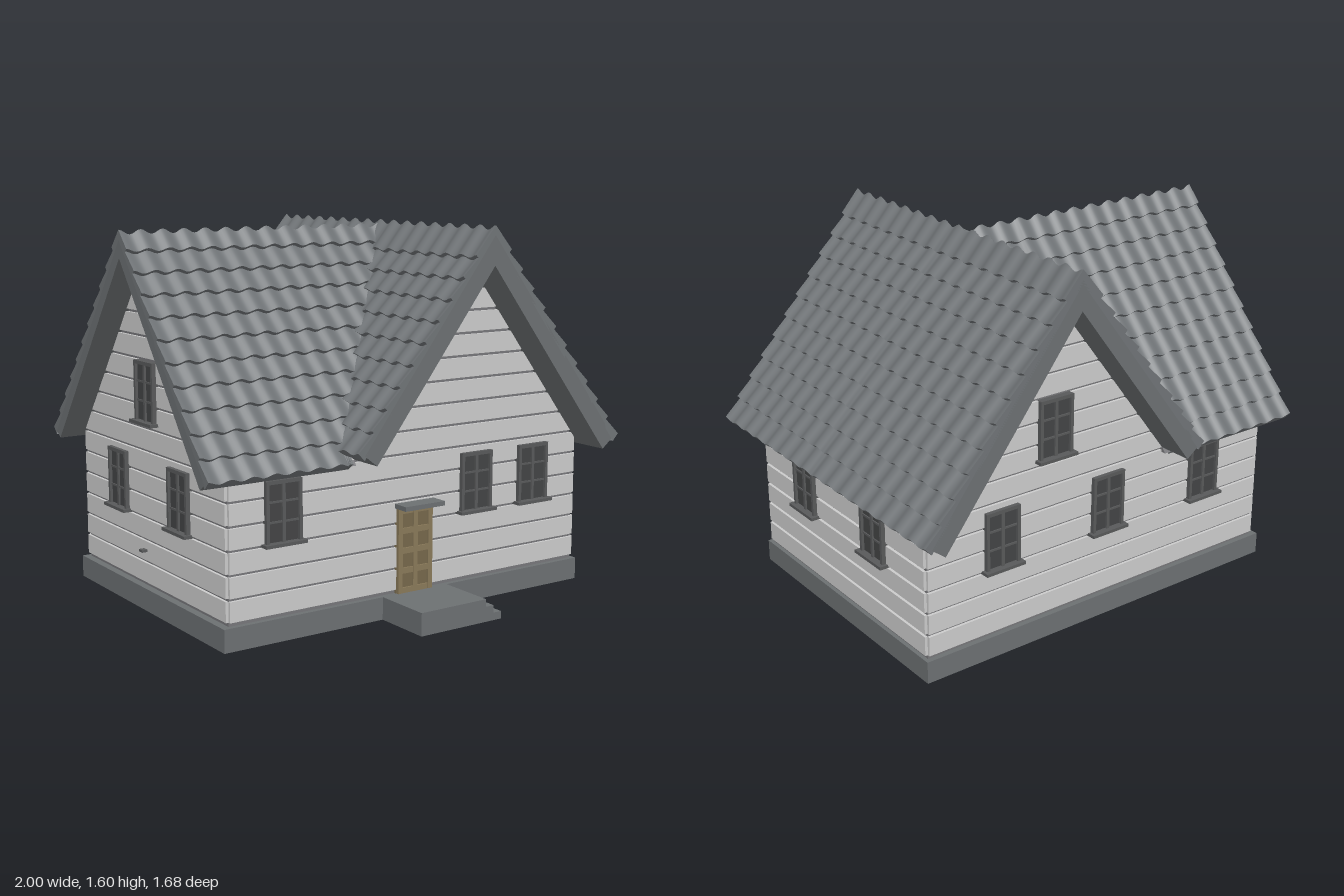
import * as THREE from 'three';
import { toCreasedNormals } from 'three/addons/utils/BufferGeometryUtils.js';

const mat = (color, side = THREE.FrontSide) => new THREE.MeshStandardMaterial({ color, side });
const SLOPE = 1.3, ANG = Math.atan(SLOPE), C = Math.cos(ANG), S = Math.sin(ANG);

export function createModel() {
  const siding = mat(0xcccccc), groove = mat(0x77777a), stone = mat(0x6c7072);
  const roofMat = mat(0x6c7072), tileMat = mat(0x707477, THREE.DoubleSide);
  const frameMat = mat(0x58595a), glass = mat(0x434445);
  const wood = mat(0x897959), woodDark = mat(0x75674b);
  const house = new THREE.Group();
  house.name = 'house';

  const add = (parent, name, geo, material) => {
    const m = new THREE.Mesh(geo, material);
    m.name = name;
    parent.add(m);
    return m;
  };
  // Box given by its minimum and maximum corners
  const box = (parent, name, material, x0, x1, y0, y1, z0, z1) => {
    const m = add(parent, name, new THREE.BoxGeometry(x1 - x0, y1 - y0, z1 - z0), material);
    m.position.set((x0 + x1) / 2, (y0 + y1) / 2, (z0 + z1) / 2);
    return m;
  };
  // Outline in x and y, extruded from z0 to z1
  const prism = (parent, name, material, pts, z0, z1) => {
    const shape = new THREE.Shape(pts.map(p => new THREE.Vector2(p[0], p[1])));
    const geo = new THREE.ExtrudeGeometry(shape, { depth: z1 - z0, bevelEnabled: false });
    return add(parent, name, geo.translate(0, 0, z0), material);
  };

  // Foundation and wall core
  box(house, 'foundation', stone, -0.91, 0.905, 0, 0.095, -0.695, 0.585);
  box(house, 'wallCore', groove, -0.878, 0.888, 0.09, 0.66, -0.673, 0.563);

  // Window with frame, glass, bars and sill, built on the plane z = 0
  const addWindow = (parent, a, y) => {
    const g = new THREE.Group();
    g.name = 'window';
    g.position.set(a, y, 0);
    parent.add(g);
    box(g, 'glass', glass, -0.07, 0.07, 0.01, 0.25, -0.01, 0.006);
    for (const s of [-1, 1]) {
      box(g, 'frameSide', frameMat, s * 0.075 - 0.007, s * 0.075 + 0.007, 0, 0.255, -0.01, 0.018);
    }
    box(g, 'frameTop', frameMat, -0.08, 0.08, 0.241, 0.256, -0.01, 0.018);
    box(g, 'centerBar', frameMat, -0.007, 0.007, 0, 0.25, -0.01, 0.014);
    for (const yb of [0.09, 0.17]) box(g, 'crossBar', frameMat, -0.07, 0.07, yb - 0.004, yb + 0.004, -0.01, 0.011);
    box(g, 'sill', frameMat, -0.095, 0.095, -0.004, 0.009, -0.01, 0.036);
  };

  // One clad wall: horizontal boards, optional gable [centre, apex], windows [position, base height]
  const addWall = (name, rot, dist, a0, a1, gable, windows) => {
    const g = new THREE.Group();
    g.name = name;
    g.rotation.y = rot;
    g.position.set(Math.sin(rot) * dist, 0, Math.cos(rot) * dist);
    house.add(g);
    for (let k = 0; k < 14; k++) {
      const y0 = 0.112 + k * 0.095, y1 = 0.195 + k * 0.095;
      if (k < 6) {
        box(g, 'board', siding, a0 + 0.012, a1 - 0.012, y0, y1, -0.014, 0);
      } else if (gable && y0 < gable[1]) {
        const [c, top] = gable;
        const w0 = (top - y0) / SLOPE, w1 = Math.max(0.002, (top - y1) / SLOPE);
        const yt = Math.min(y1, top);
        prism(g, 'gableBoard', siding, [[c - w0, y0], [c + w0, y0], [c + w1, yt], [c - w1, yt]], -0.014, 0);
      }
    }
    for (const [a, y] of windows) addWindow(g, a, y);
  };
  const LOW = 0.392, HIGH = 0.795;
  addWall('frontWall', 0, 0.575, -0.89, 0.9, [0.28, 1.48], [[-0.64, LOW], [0.32, LOW], [0.635, LOW]]);
  addWall('backWall', Math.PI, 0.685, -0.9, 0.89, [-0.28, 1.48], [[-0.54, LOW], [0, LOW], [0.54, LOW], [-0.28, HIGH]]);
  addWall('leftWall', Math.PI / 2, 0.9, -0.575, 0.685, null, [[-0.21, LOW], [0.325, LOW]]);
  addWall('rightWall', -Math.PI / 2, 0.89, -0.685, 0.575, [-0.06, 1.5], [[-0.325, LOW], [0.21, LOW], [-0.06, HIGH]]);
  box(house, 'wallVent', frameMat, -0.915, -0.88, 0.246, 0.256, -0.115, -0.085);

  // Tiled slope: overlapping wavy rows, falling towards side * x, ridge along z
  const tiledSlope = (apex, side, len, z0, z1, limit) => {
    const cols = Math.round((z1 - z0) / 0.098), n = cols * 8, step = 0.104;
    const cuts = [0];
    for (let s = len - 10 * step; s <= len + 0.001; s += step) if (s > 0.03) cuts.push(s);
    const lines = [];
    for (let i = 0; i + 1 < cuts.length; i++) lines.push([cuts[i], i ? 0.003 : 0.012], [cuts[i + 1], 0.02]);
    lines.push([len, -0.01]);
    const pos = [], index = [];
    lines.forEach(([s, lift], r) => {
      for (let i = -1; i <= n + 1; i++) {
        const t = Math.min(Math.max(i, 0), n) / n;
        const wave = 0.006 * (1 + Math.cos(2 * Math.PI * cols * t));
        const closed = i < 0 || i > n || lift < 0;
        const d = closed ? -0.01 : lift + wave;
        const along = s === 0 ? -d * SLOPE : s + (closed ? 0 : wave * -0.6);
        const y = apex - along * S + d * C;
        const z = Math.min(z0 + t * (z1 - z0), limit ? limit(y) : Infinity);
        pos.push(side * (along * C + d * S), y, z);
        if (r && i > -1) {
          const b = r * (n + 3) + i + 1, a = b - n - 3;
          if (side > 0) index.push(a - 1, a, b, a - 1, b, b - 1);
          else index.push(a - 1, b, a, a - 1, b - 1, b);
        }
      }
    });
    const geo = new THREE.BufferGeometry();
    geo.setAttribute('position', new THREE.Float32BufferAttribute(pos, 3));
    geo.setIndex(index);
    return toCreasedNormals(geo, 0.6);
  };

  // Gabled roof: thick deck with square-cut eaves plus two tiled slopes
  const addRoof = (name, apex, t, runL, runR, z0, z1, deckEnd, limit) => {
    const g = new THREE.Group();
    g.name = name;
    house.add(g);
    const tip = (side, run, d) => [side * (run - d * S), apex - run * SLOPE - d * C];
    prism(g, 'roofDeck', roofMat, [
      [0, apex], tip(-1, runL, 0), tip(-1, runL, t), [0, apex - t / C], tip(1, runR, t), tip(1, runR, 0),
    ], z0, deckEnd);
    for (const [side, run] of [[-1, runL], [1, runR]]) {
      add(g, 'roofTiles', tiledSlope(apex, side, run / C + 0.015, z0, z1, limit), tileMat);
    }
    return g;
  };

  // Main roof, ridge running front to back
  const mainRoof = addRoof('mainRoof', 1.56, 0.075, 0.64, 0.69, -0.84, 0.73, 0.73);
  mainRoof.position.x = 0.28;
  prism(mainRoof, 'gableCore', groove, [[-0.63, 0.66], [0.63, 0.66], [0, 1.48]], -0.673, 0.563);

  // Wing roof, ridge running sideways and ending in the valleys of the main roof
  const valley = y => Math.min(0.27, 0.31 - (1.56 - y) / SLOPE);
  const wingRoof = addRoof('wingRoof', 1.545, 0.045, 0.67, 0.67, -1, 0.274, -0.33, valley);
  wingRoof.rotation.y = Math.PI / 2;
  wingRoof.position.z = -0.06;
  prism(wingRoof, 'gableCore', groove, [[-0.646, 0.66], [0.646, 0.66], [0, 1.5]], -0.878, -0.3);

  // Panelled door with a small canopy
  const door = new THREE.Group();
  door.name = 'door';
  house.add(door);
  box(door, 'doorLeaf', woodDark, -0.09, 0.085, 0.095, 0.455, 0.56, 0.582);
  for (let i = 0; i < 3; i++) {
    box(door, 'doorStile', wood, -0.09 + i * 0.0765, -0.068 + i * 0.0765, 0.095, 0.455, 0.57, 0.59);
  }
  for (let j = 0; j < 5; j++) {
    box(door, 'doorRail', wood, -0.09, 0.085, 0.095 + j * 0.084, 0.119 + j * 0.084, 0.57, 0.589);
  }
  box(door, 'canopy', stone, -0.1, 0.1, 0.457, 0.476, 0.56, 0.65);

  // Porch slab with steps descending to one side
  prism(house, 'porchSteps', stone, [
    [-0.165, 0], [0.245, 0], [0.245, 0.032], [0.205, 0.032], [0.205, 0.064], [0.165, 0.064], [0.165, 0.096], [-0.165, 0.096],
  ], 0.58, 0.845);

  return house;
}
